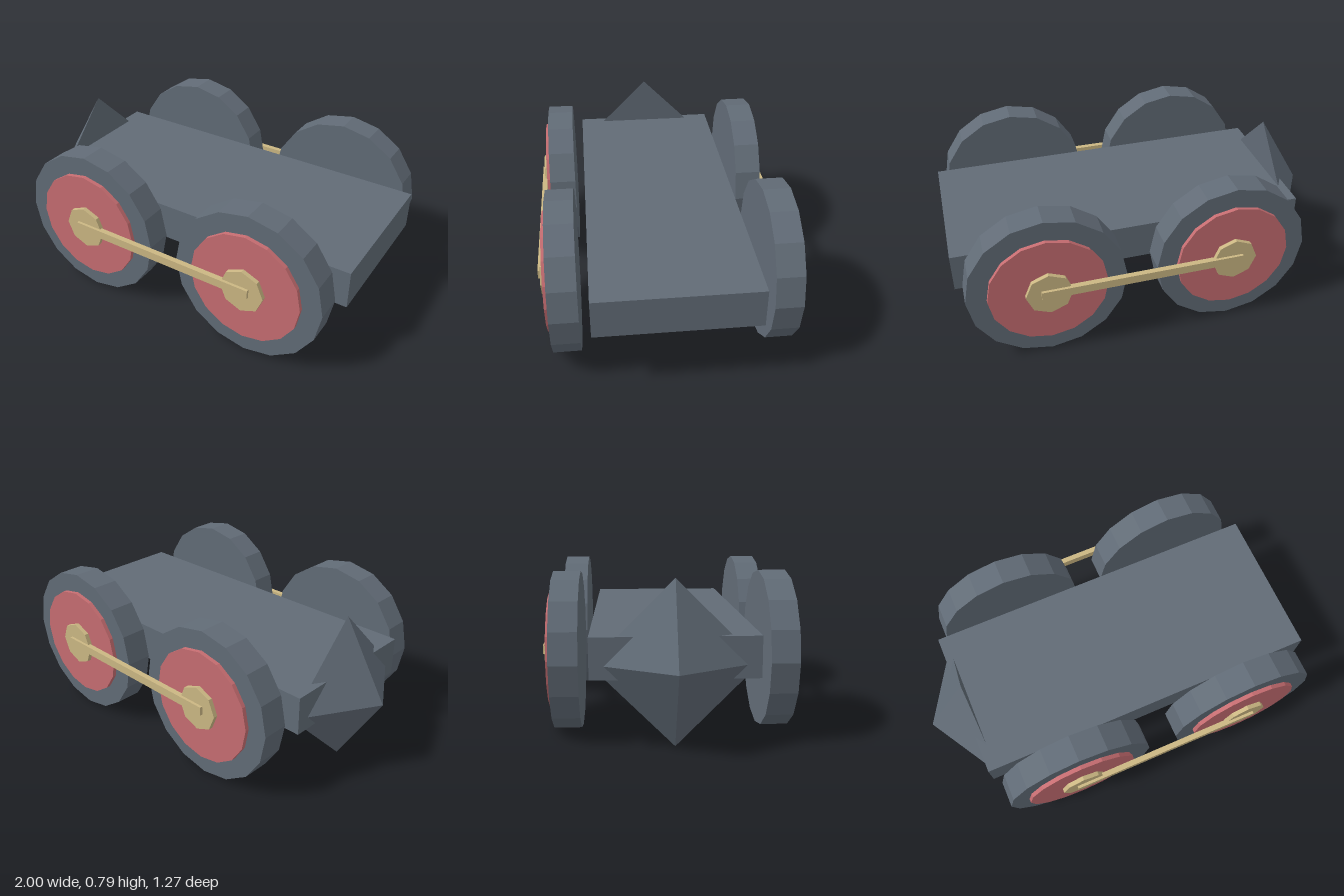
import * as THREE from 'three';

const AXLE_Y = 0.394;

function flatMaterial(name, color) {
  const m = new THREE.MeshStandardMaterial({ color, flatShading: true });
  m.name = name;
  return m;
}

function addMesh(parent, name, geometry, material, x, y, z) {
  const mesh = new THREE.Mesh(geometry, material);
  mesh.name = name;
  mesh.position.set(x, y, z);
  parent.add(mesh);
  return mesh;
}

// Faceted disc lying between two z values
function addDisc(parent, name, radius, sides, z0, z1, material) {
  const geometry = new THREE.CylinderGeometry(radius, radius, Math.abs(z1 - z0), sides);
  geometry.rotateX(Math.PI / 2);
  addMesh(parent, name, geometry, material, 0, 0, (z0 + z1) / 2);
}

export function createModel() {
  const slate = flatMaterial('slate grey', 0x616b76);
  const red = flatMaterial('muted red', 0xc66d71);
  const brass = flatMaterial('pale brass', 0xcbb783);

  const model = new THREE.Group();
  model.name = 'wheeledChassis';

  // Flat chassis slab
  addMesh(model, 'chassis', new THREE.BoxGeometry(1.805, 0.196, 0.784), slate, 0.0975, 0.434, 0);

  // Four-sided pointed plough at the -x end
  const plough = new THREE.ConeGeometry(0.391, 0.235, 4);
  plough.rotateZ(Math.PI / 2);
  addMesh(model, 'plough', plough, slate, -0.8825, 0.399, 0);

  for (const side of [1, -1]) {
    // Two wheels per side: tyre, coloured face and hub
    for (const x of [-0.374, 0.567]) {
      const wheel = new THREE.Group();
      wheel.name = 'wheel';
      wheel.position.set(x, AXLE_Y, 0);
      addDisc(wheel, 'tyre', 0.393, 16, side * 0.442, side * 0.577, slate);
      addDisc(wheel, 'wheelFace', 0.293, 16, side * 0.56, side * 0.598, red);
      addDisc(wheel, 'hub', 0.115, 8, side * 0.58, side * 0.62, brass);
      model.add(wheel);
    }
    // Rod joining the two hubs
    addMesh(model, 'couplingRod', new THREE.BoxGeometry(1.02, 0.044, 0.028), brass, 0.097, 0.4, side * 0.62);
  }

  return model;
}
